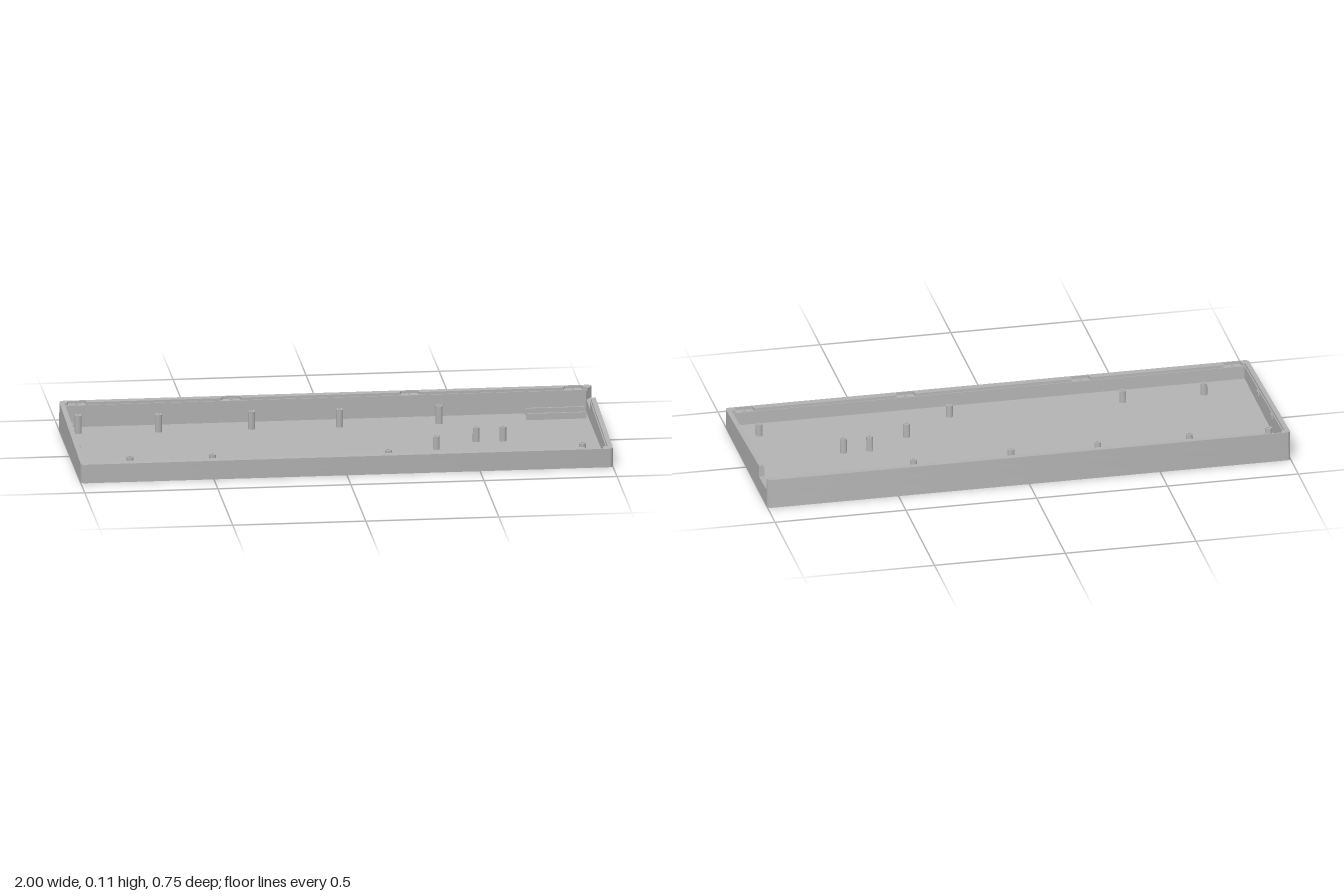
import * as THREE from 'three';
import { toCreasedNormals } from 'three/addons/utils/BufferGeometryUtils.js';

const TAN = Math.tan(THREE.MathUtils.degToRad(3)); // slope of the rim
const rimY = (z) => 0.0926 - TAN * z;

// Levels: a height above the ground, or a depth below the sloping rim
const ground = (y) => () => y;
const below = (d) => (z) => rimY(z) - d;

const grey = new THREE.MeshStandardMaterial({ color: 0xb2b2b2 });
grey.name = 'grey plastic';

// Plan shape (x, -z on the rim plane) extruded square to the sloping rim
function slab(name, shape, bottom, top) {
  const geo = new THREE.ExtrudeGeometry(shape, { depth: 1, bevelEnabled: false, curveSegments: 8 });
  const p = geo.attributes.position;
  for (let i = 0; i < p.count; i++) {
    const z = -p.getY(i);
    const y = (p.getZ(i) > 0.5 ? top : bottom)(z);
    p.setXYZ(i, p.getX(i), y, z - (rimY(z) - y) * TAN);
  }
  geo.clearGroups();
  const mesh = new THREE.Mesh(toCreasedNormals(geo, 0.6), grey);
  mesh.name = name;
  return mesh;
}

function rect(x0, x1, u0, u1) {
  return new THREE.Shape([[x0, u0], [x1, u0], [x1, u1], [x0, u1]].map((a) => new THREE.Vector2(...a)));
}

function hole(x, u, r) {
  const path = new THREE.Path();
  path.absarc(x, u, r, 0, Math.PI * 2, true);
  return path;
}

// Outer plan of the case
const FRONT = -0.375, BACK = 0.367, R = 0.015;
const NOTCH = [0.215, 0.323];
const SCREWS = [-0.935, -0.355, 0.315, 0.93];

function outline() {
  const s = new THREE.Shape();
  s.moveTo(1, NOTCH[1]);
  s.absarc(1 - R, BACK - R, R, 0, Math.PI / 2);
  s.absarc(-1 + R, BACK - R, R, Math.PI / 2, Math.PI);
  s.absarc(-1 + R, FRONT + R, R, Math.PI, Math.PI * 1.5);
  s.absarc(1 - R, FRONT + R, R, Math.PI * 1.5, Math.PI * 2);
  s.lineTo(1, NOTCH[0]);
  return s;
}

function addScrewHoles(s) {
  for (const x of SCREWS) s.holes.push(hole(x, -0.352, 0.006), hole(x, 0.352, 0.006));
  return s;
}

// Wall ring left open at the cable notch, optionally with screw pockets
function openWall(xi, u0, u1, pockets) {
  const s = outline();
  const w = 0.037;
  s.lineTo(xi, NOTCH[0]);
  s.lineTo(xi, u0);
  if (pockets) for (const x of [...SCREWS].reverse()) {
    s.lineTo(x + w, u0);
    s.lineTo(x + w - 0.006, -0.369);
    s.lineTo(x - w + 0.006, -0.369);
    s.lineTo(x - w, u0);
  }
  s.lineTo(-xi, u0);
  s.lineTo(-xi, u1);
  if (pockets) for (const x of SCREWS) {
    s.lineTo(x - w, u1);
    s.lineTo(x - w + 0.006, 0.361);
    s.lineTo(x + w - 0.006, 0.361);
    s.lineTo(x + w, u1);
  }
  s.lineTo(xi, u1);
  s.lineTo(xi, NOTCH[1]);
  s.closePath();
  return s;
}

export function createModel() {
  const model = new THREE.Group();
  model.name = 'keyboardCase';
  const floorY = 0.015;

  // Floor plate
  model.add(slab('floor', addScrewHoles(outline()), ground(0), ground(floorY)));

  // Walls: closed ring below the notch, open ring, thinner lip with pockets
  const xi = 0.978, u0 = -0.34, u1 = 0.337;
  const lower = addScrewHoles(outline());
  lower.holes.push(new THREE.Path(rect(-xi, xi, u0, u1).getPoints().reverse()));
  model.add(slab('lowerWall', lower, ground(floorY), below(0.044)));
  model.add(slab('upperWall', addScrewHoles(openWall(xi, u0, u1, false)), below(0.044), below(0.01)));
  model.add(slab('rimLip', openWall(0.982, -0.344, 0.341, true), below(0.01), below(0)));

  // Hollow mounting posts
  const posts = [
    [-0.94, -0.255], [-0.64, -0.24], [-0.29, -0.24], [0.04, -0.232], [0.415, -0.24],
    [0.525, 0.02], [0.625, 0.023], [0.365, 0.108],
    [-0.8, 0.238], [-0.49, 0.238], [0.17, 0.25], [0.9, 0.238],
  ];
  for (const [x, z] of posts) {
    const s = new THREE.Shape();
    s.absarc(x, -z, 0.013, 0, Math.PI * 2);
    s.holes.push(hole(x, -z, 0.006));
    model.add(slab('mountingPost', s, ground(floorY - 0.002), below(0.02)));
  }

  // Guide ribs beside the notch
  for (const u of [0.247, 0.32]) {
    model.add(slab('guideRib', rect(0.745, 0.97, u - 0.004, u + 0.004), ground(floorY - 0.002), ground(0.04)));
  }

  // Small clips inside the right-hand wall
  for (const u of [0.14, -0.095]) {
    model.add(slab('wallClip', rect(-0.98, -0.973, u - 0.016, u + 0.016), below(0.028), below(0.014)));
  }
  return model;
}
